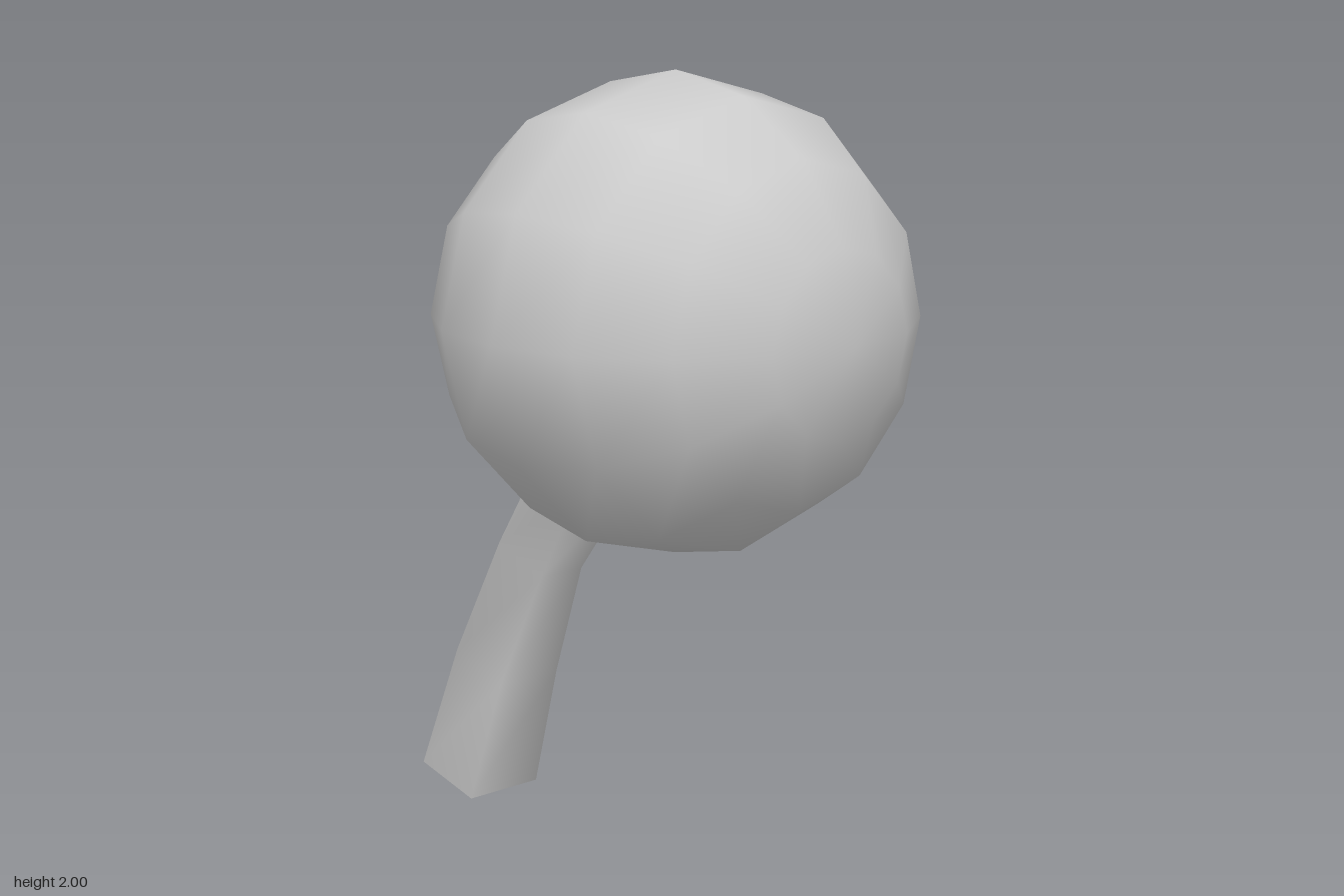
import * as THREE from 'three';

// Handle sections from the foot up: front z, front y, back z, back y, half width
const SECTIONS = [
  [-0.535, 0.0, -0.733, 0.058, 0.117],
  [-0.43, 0.337, -0.605, 0.4, 0.1],
  [-0.298, 0.653, -0.463, 0.716, 0.071],
  [-0.133, 0.9, -0.266, 0.983, 0.101],
];

// Four-sided bent handle: smooth sides, flat foot, open end hidden in the ball
function handleGeometry() {
  const rings = SECTIONS.map(([fz, fy, bz, by, w]) => [
    [w, fy, fz], [w, by, bz], [-w, by, bz], [-w, fy, fz],
  ]);
  const positions = rings.flat(2);
  const index = [];
  for (let i = 0; i < rings.length - 1; i++) {
    for (let j = 0; j < 4; j++) {
      const a = i * 4 + j, b = i * 4 + ((j + 1) % 4);
      index.push(a, b, b + 4, a, b + 4, a + 4);
    }
  }
  // Foot cap has its own corners so its edge stays sharp
  const c = rings.length * 4;
  positions.push(...rings[0].flat());
  index.push(c, c + 3, c + 2, c, c + 2, c + 1);

  const geometry = new THREE.BufferGeometry();
  geometry.setAttribute('position', new THREE.Float32BufferAttribute(positions, 3));
  geometry.setIndex(index);
  geometry.computeVertexNormals();
  return geometry;
}

export function createModel() {
  const group = new THREE.Group();
  const material = new THREE.MeshStandardMaterial({ color: 0xcccccc });

  // Ball with its poles facing front and back
  const ball = new THREE.Mesh(new THREE.SphereGeometry(0.607, 12, 8).rotateX(Math.PI / 2), material);
  ball.name = 'ball';
  ball.position.set(0, 1.393, 0.126);

  const handle = new THREE.Mesh(handleGeometry(), material);
  handle.name = 'handle';

  group.add(ball, handle);
  return group;
}
